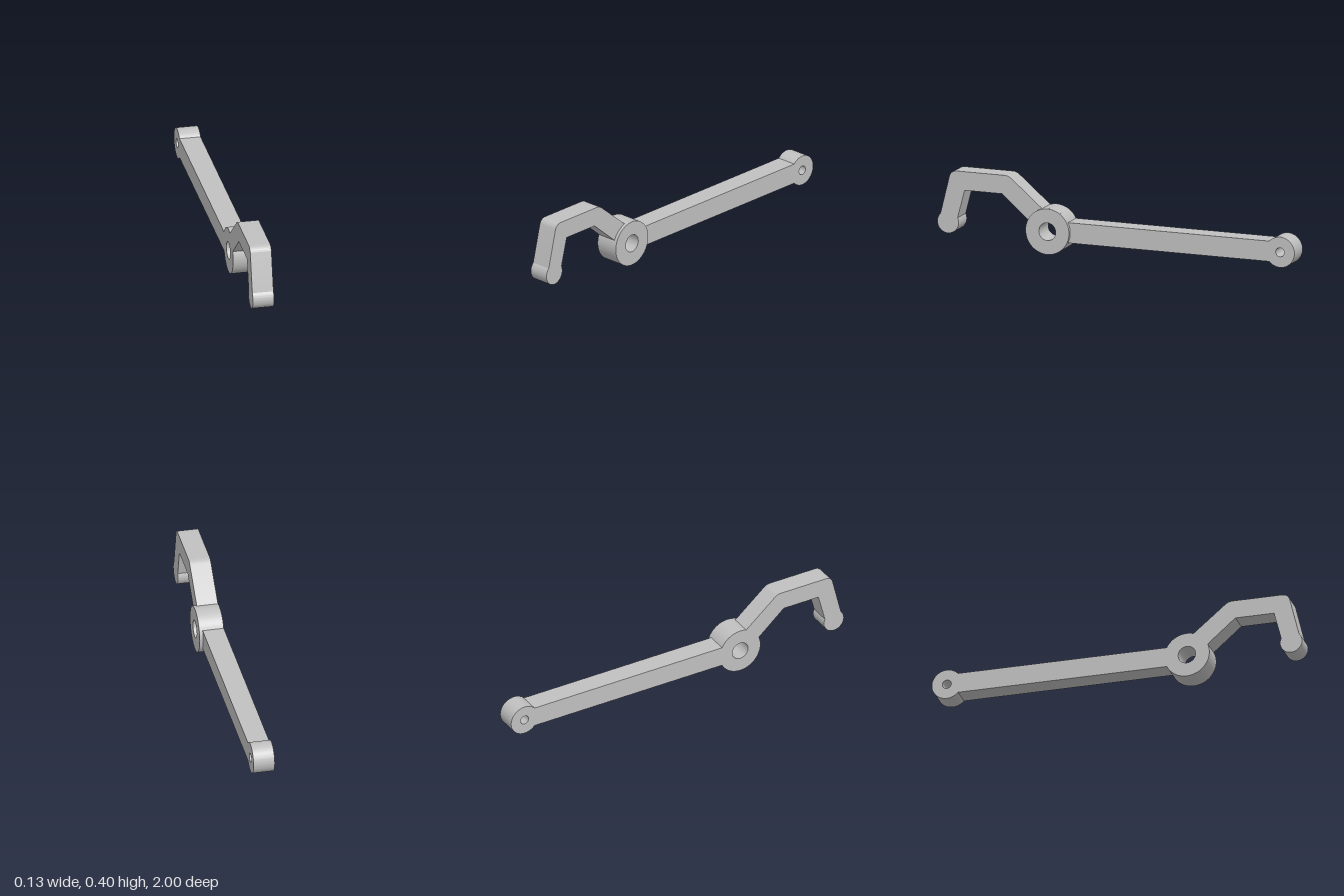
import * as THREE from 'three';
import { toCreasedNormals } from 'three/addons/utils/BufferGeometryUtils.js';

const BACK = -0.065, FACE = 0.047, COLLAR = 0.065; // x of the flat sides
const hub = { z: 0.377, y: 0.1215, r: 0.1215, hole: 0.047 };
const end = { z: -0.919, y: 0.1215, r: 0.081, hole: 0.024 };
const tip = { z: 0.94, y: 0.1215, r: 0.0595 };
const BAR_HALF = 0.054;

// Profiles are drawn with -z to the right and y up, then extruded along x.
function extrudeX(shape, x0, x1) {
  const geo = new THREE.ExtrudeGeometry(shape, { depth: x1 - x0, bevelEnabled: false, curveSegments: 48 });
  geo.rotateY(Math.PI / 2);
  geo.translate(x0, 0, 0);
  return toCreasedNormals(geo, 0.4);
}

function arc(path, c, from, to) {
  path.absarc(-c.z, c.y, c.r, from, to, false);
}

function boltHole(c) {
  const path = new THREE.Path();
  path.absarc(-c.z, c.y, c.hole, 0, Math.PI * 2, true);
  return path;
}

export function createModel() {
  const group = new THREE.Group();
  const metal = new THREE.MeshStandardMaterial({ color: 0xc0c0c0 });
  metal.name = 'light grey metal';

  const add = (name, geo) => {
    const mesh = new THREE.Mesh(geo, metal);
    mesh.name = name;
    group.add(mesh);
  };

  // Lever: straight bar with an eye, a hub, and a bent hook with a round tip
  const a = Math.asin(BAR_HALF / hub.r);
  const b = Math.asin(BAR_HALF / end.r);
  const lever = new THREE.Shape();
  lever.moveTo(-hub.z + hub.r * Math.cos(a), hub.y - BAR_HALF);
  arc(lever, end, -Math.PI + b, Math.PI - b);
  arc(lever, hub, a, 1.87);
  // outer edge of the hook with rounded corners
  lever.lineTo(-0.585, 0.382);
  lever.quadraticCurveTo(-0.602, 0.396, -0.622, 0.396);
  lever.lineTo(-0.89, 0.396);
  lever.quadraticCurveTo(-0.925, 0.396, -0.933, 0.363);
  arc(lever, tip, 2.36, Math.PI * 2 + 0.45);
  // inner edge of the hook with sharp corners
  lever.lineTo(-0.8475, 0.297);
  lever.lineTo(-0.639, 0.297);
  arc(lever, hub, 2.75, Math.PI * 2 - a);
  lever.holes.push(boltHole(hub), boltHole(end));
  add('lever', extrudeX(lever, BACK, FACE));

  // Raised collar around the pivot hole
  const collar = new THREE.Shape();
  arc(collar, hub, 0, Math.PI * 2);
  collar.holes.push(boltHole(hub));
  add('pivotCollar', extrudeX(collar, FACE, COLLAR));

  return group;
}
